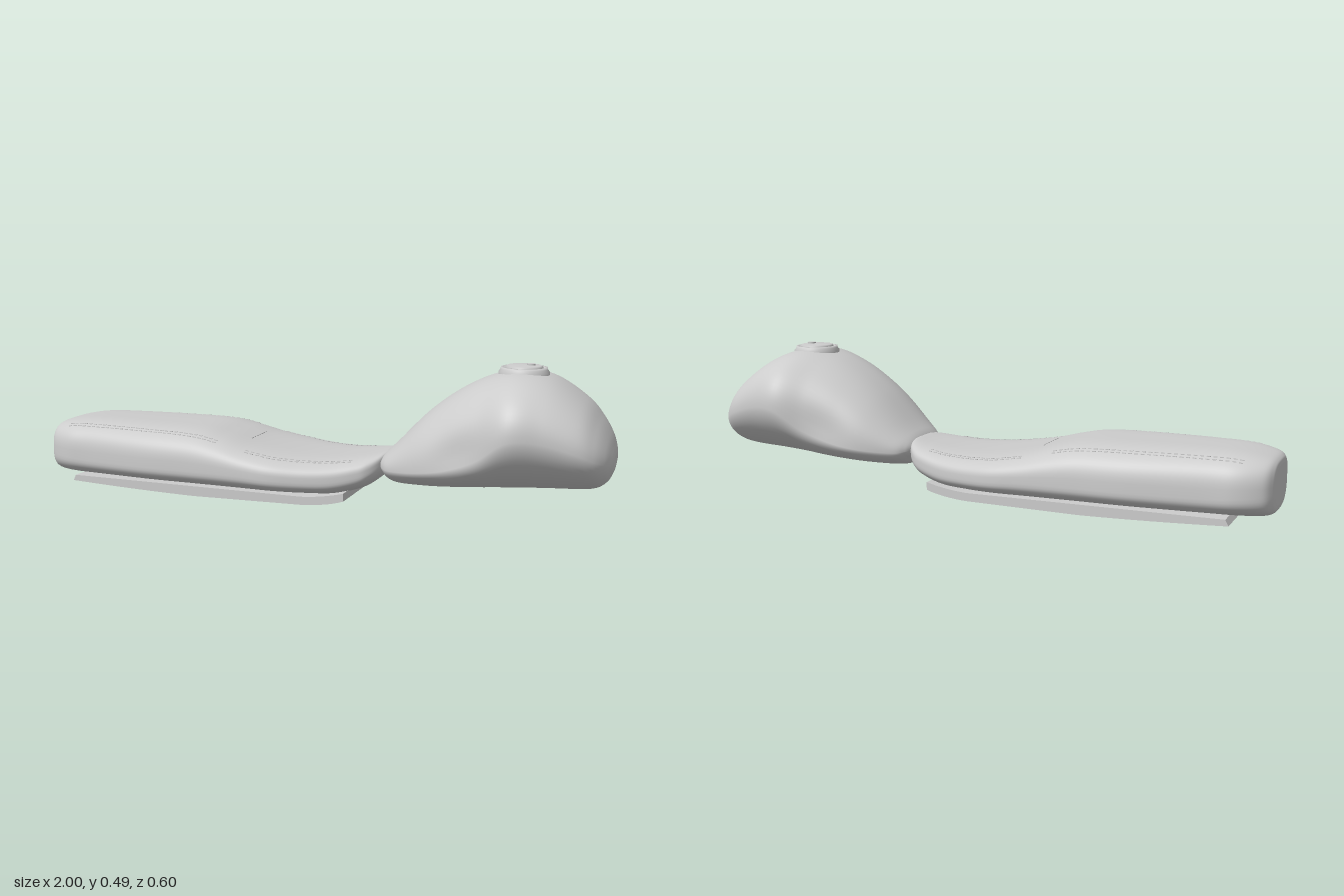
import * as THREE from 'three';
import { mergeGeometries } from 'three/addons/utils/BufferGeometryUtils.js';

const SIDES = 72;
const lerpPow = (v, n) => Math.sign(v) * Math.pow(Math.abs(v), 2 / n);

// Smoothly interpolates stations [x, bottom, widestHeight, top, halfWidth]
function profile(stations) {
  const curve = (a, b) => new THREE.CatmullRomCurve3(
    stations.map(s => new THREE.Vector3(s[0], s[a], s[b])), false, 'catmullrom', 0.5);
  const lower = curve(1, 2), upper = curve(3, 4);
  return t => {
    const l = lower.getPoint(t), u = upper.getPoint(t);
    return { x: l.x, bottom: l.y, mid: l.z, top: u.y, half: u.z };
  };
}

// Closed body made of egg-like cross-sections along x
function loft(section, steps, nTop, nBottom, shape = (x, y, z) => z) {
  const pos = [], index = [];
  for (let i = 0; i <= steps; i++) {
    const s = section(i / steps);
    for (let j = 0; j < SIDES; j++) {
      const a = (j / SIDES) * Math.PI * 2, c = Math.cos(a), k = Math.sin(a);
      const n = k >= 0 ? nTop : nBottom;
      const y = s.mid + lerpPow(k, n) * (k >= 0 ? s.top - s.mid : s.mid - s.bottom);
      pos.push(s.x, y, shape(s.x, y, lerpPow(c, n) * s.half));
    }
  }
  const at = (i, j) => i * SIDES + (j % SIDES);
  for (let i = 0; i < steps; i++) {
    for (let j = 0; j < SIDES; j++) {
      index.push(at(i, j), at(i + 1, j), at(i, j + 1));
      index.push(at(i + 1, j), at(i + 1, j + 1), at(i, j + 1));
    }
  }
  // End caps
  for (const i of [0, steps]) {
    const s = section(i / steps), centre = pos.length / 3;
    pos.push(s.x, s.mid, 0);
    for (let j = 0; j < SIDES; j++) {
      if (i === 0) index.push(centre, at(i, j), at(i, j + 1));
      else index.push(centre, at(i, j + 1), at(i, j));
    }
  }
  const g = new THREE.BufferGeometry();
  g.setAttribute('position', new THREE.Float32BufferAttribute(pos, 3));
  g.setIndex(index);
  g.computeVertexNormals();
  return g;
}

const SEAT = [
  [-1.0, 0.06, 0.12, 0.185, 0.09],
  [-0.995, 0.04, 0.115, 0.203, 0.125],
  [-0.97, 0.031, 0.11, 0.217, 0.165],
  [-0.9, 0.03, 0.105, 0.23, 0.2],
  [-0.8, 0.03, 0.1, 0.235, 0.212],
  [-0.57, 0.03, 0.1, 0.234, 0.24],
  [-0.4, 0.03, 0.1, 0.23, 0.247],
  [-0.3, 0.03, 0.1, 0.212, 0.251],
  [-0.2, 0.03, 0.098, 0.185, 0.254],
  [-0.1, 0.03, 0.092, 0.167, 0.252],
  [0.0, 0.03, 0.088, 0.157, 0.232],
  [0.1, 0.033, 0.09, 0.157, 0.206],
  [0.18, 0.052, 0.105, 0.165, 0.178],
  [0.22, 0.075, 0.12, 0.171, 0.155],
  [0.25, 0.105, 0.14, 0.177, 0.115],
  [0.265, 0.13, 0.155, 0.178, 0.06],
];

const TANK = [
  [0.25, 0.125, 0.145, 0.168, 0.1],
  [0.265, 0.1, 0.14, 0.188, 0.135],
  [0.3, 0.075, 0.138, 0.222, 0.17],
  [0.4, 0.074, 0.15, 0.325, 0.222],
  [0.5, 0.078, 0.17, 0.4, 0.254],
  [0.6, 0.083, 0.21, 0.449, 0.278],
  [0.7, 0.088, 0.28, 0.469, 0.302],
  [0.8, 0.093, 0.28, 0.448, 0.277],
  [0.9, 0.098, 0.25, 0.383, 0.247],
  [0.95, 0.106, 0.225, 0.325, 0.213],
  [0.98, 0.127, 0.21, 0.275, 0.165],
  [0.995, 0.155, 0.2, 0.235, 0.11],
  [1.0, 0.175, 0.2, 0.215, 0.065],
];

export function createModel() {
  const model = new THREE.Group();
  const grey = new THREE.MeshStandardMaterial({ color: 0xcccccc });
  grey.name = 'light grey';
  const add = (name, geometry, parent = model) => {
    const mesh = new THREE.Mesh(geometry, grey);
    mesh.name = name;
    parent.add(mesh);
    return mesh;
  };

  // Padded seat
  const seat = profile(SEAT);
  add('seat', loft(seat, 120, 3.4, 2.6));

  // Fuel tank with a shallow knee recess on each flank
  add('fuelTank', loft(profile(TANK), 96, 2.25, 1.8, (x, y, z) => {
    const dent = Math.exp(-(((x - 0.54) / 0.1) ** 2) - (((y - 0.12 - 0.3 * (x - 0.2)) / 0.06) ** 2) * 0.6);
    return z * (1 - 0.07 * dent);
  }));

  // Seat base plate, curving up at both ends
  const side = new THREE.Shape();
  side.moveTo(-0.88, 0.018);
  side.quadraticCurveTo(-0.62, 0.004, -0.4, 0);
  side.lineTo(0, 0.004);
  side.quadraticCurveTo(0.09, 0.008, 0.15, 0.028);
  side.lineTo(0.15, 0.055);
  side.quadraticCurveTo(0.08, 0.036, 0, 0.032);
  side.lineTo(-0.87, 0.038);
  side.closePath();
  const plate = new THREE.ExtrudeGeometry(side, { depth: 0.376, bevelEnabled: false, curveSegments: 8 });
  plate.translate(0, 0, -0.188);
  add('basePlate', plate);

  // Filler cap with stepped rim, lid and lock
  const cap = new THREE.Group();
  cap.name = 'fillerCap';
  cap.position.set(0.7, 0, 0);
  model.add(cap);
  const ring = (name, points) => add(name, new THREE.LatheGeometry(
    points.map(p => new THREE.Vector2(p[0], p[1])), 48), cap);
  ring('capRim', [[0.082, 0.445], [0.082, 0.463], [0.075, 0.472], [0.075, 0.478], [0.066, 0.478], [0.064, 0.472], [0, 0.472]]);
  ring('capLid', [[0.06, 0.47], [0.06, 0.48], [0.054, 0.484], [0, 0.486]]);
  const lock = add('capLock', new THREE.CylinderGeometry(0.014, 0.014, 0.01, 24), cap);
  lock.position.set(0.022, 0.485, 0);

  // Point on top of the seat at a given x and z
  const onSeat = (x, z) => {
    let lo = 0, hi = 1;
    for (let i = 0; i < 24; i++) {
      const m = (lo + hi) / 2;
      if (seat(m).x < x) lo = m; else hi = m;
    }
    const s = seat(lo), r = Math.min(1, Math.abs(z) / s.half);
    return new THREE.Vector3(x, s.mid + (s.top - s.mid) * Math.pow(1 - r ** 3.4, 1 / 3.4), z);
  };

  // Stitching: short dashes laid along lines over the seat
  const dashes = [];
  const stitch = (x0, z0, x1, z1) => {
    const count = Math.round(Math.hypot(x1 - x0, z1 - z0) / 0.02);
    const spot = f => onSeat(x0 + (x1 - x0) * f, z0 + (z1 - z0) * f);
    for (let i = 0; i < count; i++) {
      const a = spot(i / count), b = spot((i + 0.6) / count);
      const holder = new THREE.Object3D();
      holder.position.copy(a).add(b).multiplyScalar(0.5);
      holder.lookAt(b);
      holder.updateMatrix();
      const dash = new THREE.BoxGeometry(0.003, 0.004, a.distanceTo(b));
      dashes.push(dash.applyMatrix4(holder.matrix));
    }
  };
  for (const s of [-1, 1]) {
    for (const gap of [0, 0.014]) {
      stitch(-0.91, s * (0.142 + gap), -0.57, s * (0.17 + gap));
      stitch(-0.57, s * (0.17 + gap), -0.3, s * (0.183 + gap));
      stitch(-0.2, s * (0.185 + gap), -0.1, s * (0.185 + gap));
      stitch(-0.1, s * (0.185 + gap), 0.17, s * (0.128 + gap));
    }
  }
  stitch(-0.23, -0.07, -0.23, 0.07);
  add('seatStitching', mergeGeometries(dashes));

  return model;
}
